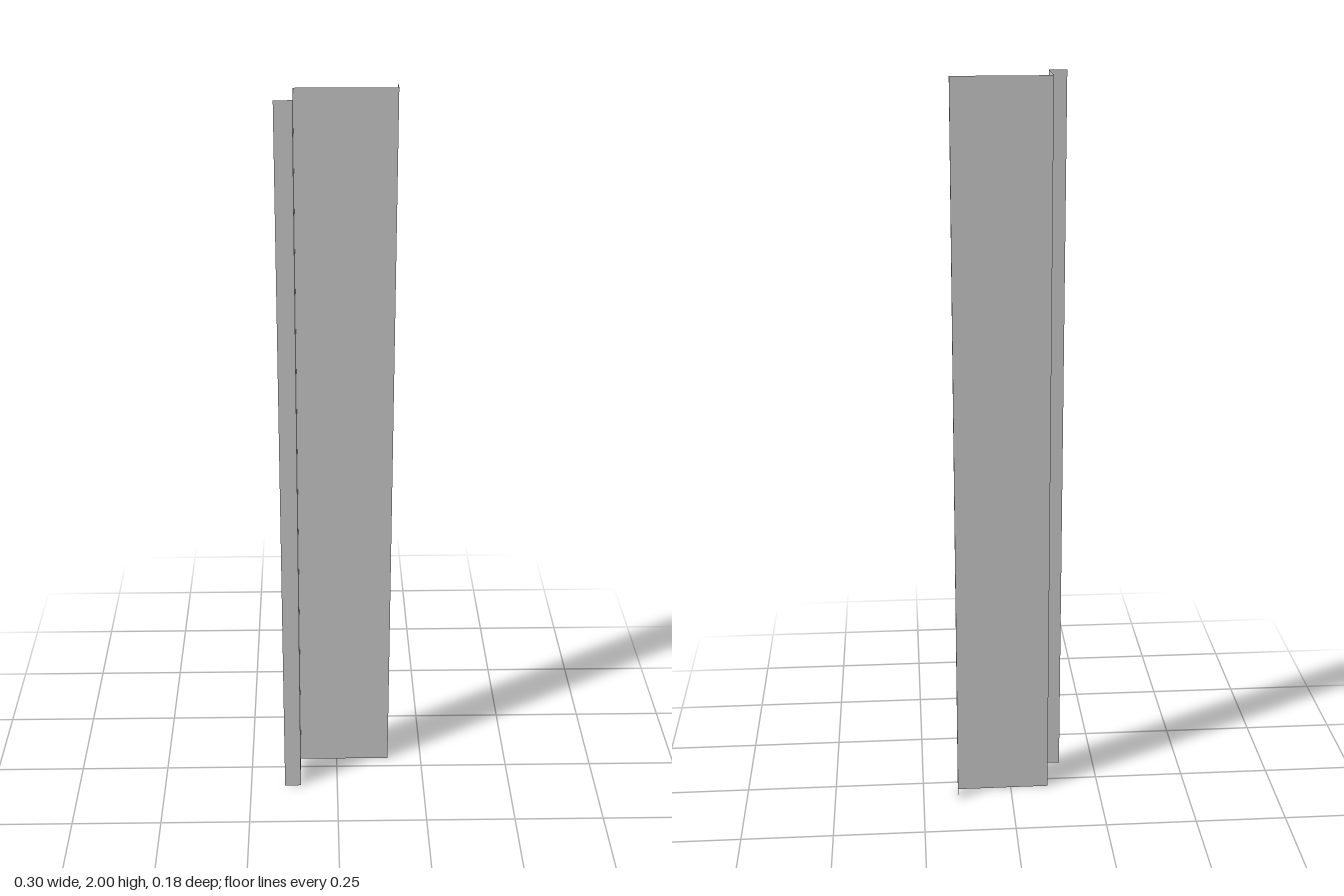
import * as THREE from 'three';

const HEIGHT = 2;

// Plan of the folded sheet: [x, z] at each fold, from right edge to left edge
const FOLDS = [
  [-0.152, 0.088],
  [-0.106, 0.088],
  [-0.106, -0.038],
  [0.152, -0.038],
  [0.152, -0.088],
];
const NAMES = ['frontLip', 'sideWeb', 'mainPanel', 'rearFlange'];

export function createModel() {
  const group = new THREE.Group();
  group.name = 'foldedSheetProfile';
  const material = new THREE.MeshStandardMaterial({ color: 0xcccccc, side: THREE.DoubleSide });

  // One flat upright strip between each pair of neighbouring folds
  NAMES.forEach((name, i) => {
    const [x0, z0] = FOLDS[i];
    const [x1, z1] = FOLDS[i + 1];
    const dx = x1 - x0, dz = z1 - z0;
    const strip = new THREE.Mesh(new THREE.PlaneGeometry(Math.hypot(dx, dz), HEIGHT), material);
    strip.name = name;
    strip.rotation.y = Math.atan2(-dz, dx);
    strip.position.set((x0 + x1) / 2, HEIGHT / 2, (z0 + z1) / 2);
    group.add(strip);
  });
  return group;
}
